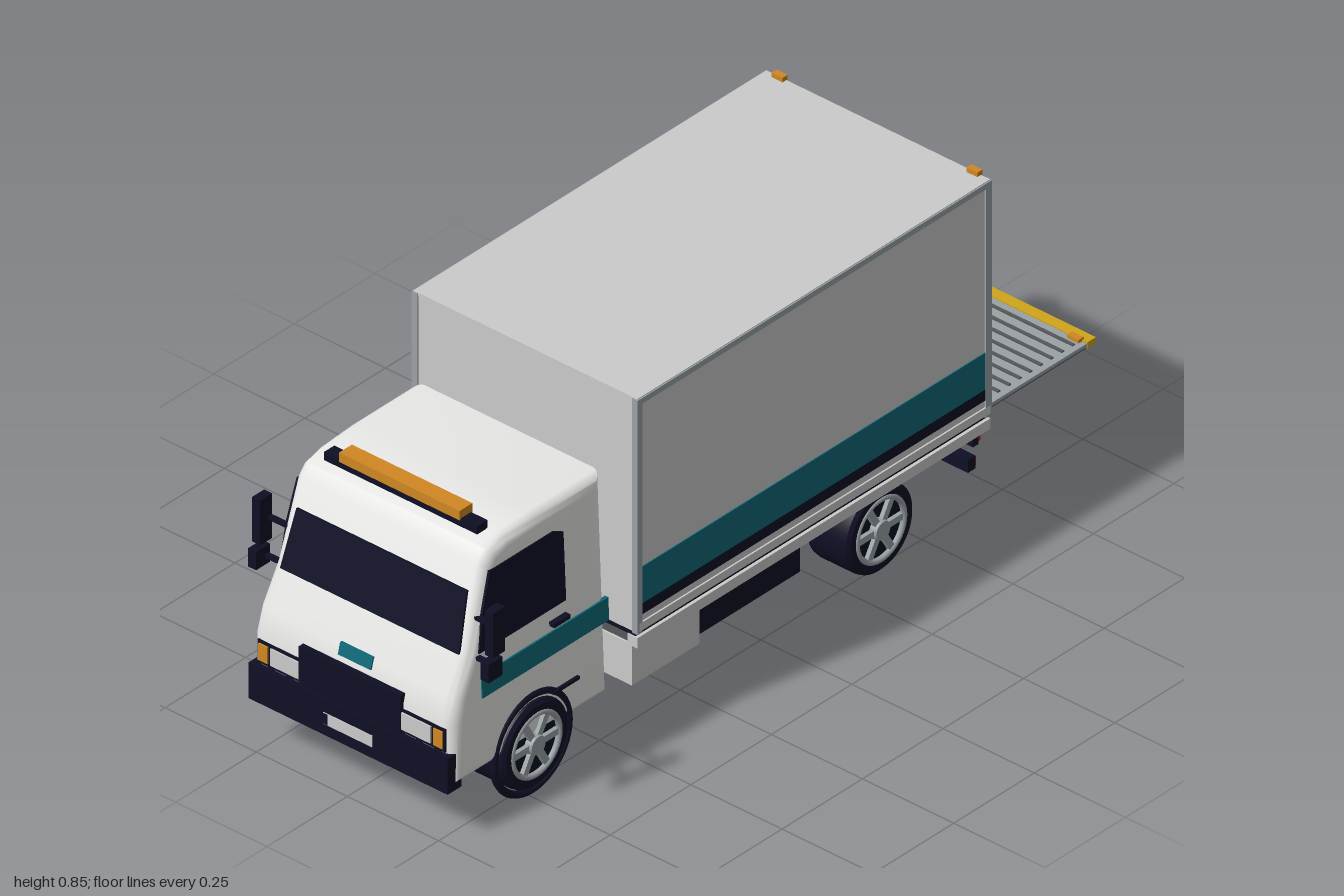
import * as THREE from 'three';
import { toCreasedNormals } from 'three/addons/utils/BufferGeometryUtils.js';

const paint = (name, color) => {
  const m = new THREE.MeshStandardMaterial({ color });
  m.name = name;
  return m;
};

export function createModel() {
  const white = paint('cabWhite', 0xe9e9e7);
  const panel = paint('panelGrey', 0xcbcbcb);
  const frame = paint('frameGrey', 0x9aa2a6);
  const navy = paint('navyBlack', 0x0f0f26);
  const teal = paint('teal', 0x0e6878);
  const orange = paint('orange', 0xd08722);
  const yellow = paint('yellow', 0xcfa51a);
  const red = paint('red', 0xc4260f);
  const dark = paint('darkGrey', 0x55585a);

  const truck = new THREE.Group();
  truck.name = 'boxTruck';

  const group = (name) => {
    const g = new THREE.Group();
    g.name = name;
    truck.add(g);
    return g;
  };
  const add = (parent, name, geo, mat) => {
    const m = new THREE.Mesh(geo, mat);
    m.name = name;
    parent.add(m);
    return m;
  };
  // Box given by its limits on each axis
  const box = (parent, name, mat, x0, x1, y0, y1, z0, z1) => {
    const m = add(parent, name, new THREE.BoxGeometry(Math.abs(x1 - x0), y1 - y0, Math.abs(z1 - z0)), mat);
    m.position.set((x0 + x1) / 2, (y0 + y1) / 2, (z0 + z1) / 2);
    return m;
  };
  const shapeOf = (pts) => new THREE.Shape(pts.map(([a, b]) => new THREE.Vector2(a, b)));
  const moveVertices = (geo, rule) => {
    const p = geo.attributes.position, v = new THREE.Vector3();
    for (let i = 0; i < p.count; i++) {
      rule(v.fromBufferAttribute(p, i));
      p.setXYZ(i, v.x, v.y, v.z);
    }
    geo.computeVertexNormals();
    return geo;
  };

  // ---- Cab: bevelled side profile, narrowing towards the roof ----
  const cab = group('cab');
  const halfWidth = (y) => 0.28 - 0.045 * Math.max(0, y - 0.2);
  const profile = [[0.5, 0.13], [0.985, 0.13], [0.985, 0.28], [0.97, 0.34], [0.925, 0.43],
    [0.872, 0.615], [0.85, 0.643], [0.8, 0.658], [0.7, 0.665], [0.5, 0.665]];
  const b = 0.03;
  let shell = new THREE.ExtrudeGeometry(shapeOf(profile.map(([z, y]) => [-z, y]).reverse()), {
    depth: 0.56 - 2 * b, bevelThickness: b, bevelSize: b, bevelOffset: -b, bevelSegments: 6 });
  shell.translate(0, 0, -0.28 + b).rotateY(Math.PI / 2);
  shell = moveVertices(shell, (v) => { v.x *= halfWidth(v.y) / 0.28; });
  add(cab, 'cabShell', toCreasedNormals(shell, 0.6), white);

  // Thin plates that follow the cab side; points are [z, y]
  const sidePlate = (name, mat, s, pts) => {
    const geo = new THREE.ExtrudeGeometry(shapeOf(pts.map(([z, y]) => [-s * z, y])), { depth: 0.009, bevelEnabled: false });
    geo.rotateY(s * Math.PI / 2);
    add(cab, name, moveVertices(geo, (v) => { v.x += s * (halfWidth(v.y) - 0.006); }), mat);
  };
  // Thin plates that follow the cab front; points are [x, y]
  const frontPlate = (name, mat, pts, zAt) => {
    const geo = new THREE.ExtrudeGeometry(shapeOf(pts), { depth: 0.009, bevelEnabled: false });
    add(cab, name, moveVertices(geo, (v) => { v.z += zAt(v.y) - 0.005; }), mat);
  };
  const rect = (a0, a1, b0, b1) => [[a0, b0], [a1, b0], [a1, b1], [a0, b1]];

  frontPlate('windscreen', navy, [[-0.245, 0.422], [0.245, 0.422], [0.234, 0.555], [-0.234, 0.555]],
    (y) => 0.926 - (y - 0.43) * 0.286);
  frontPlate('frontBadge', teal, rect(-0.045, 0.045, 0.32, 0.347), (y) => 0.986 - (y - 0.28) * 0.27);

  for (const s of [-1, 1]) {
    const side = s > 0 ? 'left' : 'right';
    sidePlate(side + 'Window', navy, s, [[0.63, 0.42], [0.9, 0.42], [0.885, 0.51], [0.858, 0.6], [0.66, 0.6], [0.63, 0.585]]);
    sidePlate(side + 'CabStripe', teal, s, rect(0.502, 0.895, 0.31, 0.365));
    box(cab, side + 'DoorHandle', navy, s * 0.265, s * 0.285, 0.38, 0.39, 0.63, 0.68);
    box(cab, side + 'StepTrim', navy, s * 0.265, s * 0.284, 0.215, 0.223, 0.6, 0.68);
    // Mirrors and their arms
    box(cab, side + 'MainMirror', navy, s * 0.308, s * 0.33, 0.445, 0.555, 0.885, 0.922);
    box(cab, side + 'LowerMirror', navy, s * 0.308, s * 0.33, 0.39, 0.435, 0.892, 0.935);
    box(cab, side + 'UpperMirrorArm', navy, s * 0.25, s * 0.31, 0.496, 0.504, 0.885, 0.897);
    box(cab, side + 'LowerMirrorArm', navy, s * 0.25, s * 0.31, 0.407, 0.415, 0.895, 0.907);
    // Headlamp cluster
    box(cab, side + 'LampSurround', navy, s * 0.13, s * 0.257, 0.213, 0.27, 0.95, 0.988);
    box(cab, side + 'Headlamp', panel, s * 0.14, s * 0.22, 0.222, 0.263, 0.96, 0.992);
    box(cab, side + 'Indicator', orange, s * 0.227, s * 0.252, 0.222, 0.263, 0.96, 0.992);
  }
  box(cab, 'grille', navy, -0.14, 0.14, 0.213, 0.305, 0.94, 0.994);
  box(cab, 'frontBumper', navy, -0.273, 0.273, 0.122, 0.21, 0.955, 0.998);
  box(cab, 'bumperLip', navy, -0.145, 0.145, 0.114, 0.124, 0.955, 0.985);
  box(cab, 'numberPlate', panel, -0.067, 0.067, 0.15, 0.178, 0.992, 1);
  box(cab, 'numberPlateEnd', navy, -0.066, -0.055, 0.151, 0.177, 0.993, 1.0005);
  box(cab, 'beaconBase', navy, -0.21, 0.21, 0.655, 0.675, 0.803, 0.835);
  box(cab, 'beaconBar', orange, -0.165, 0.165, 0.672, 0.695, 0.799, 0.839);

  // ---- Cargo body ----
  const cargo = group('cargoBody');
  box(cargo, 'cargoBox', panel, -0.306, 0.306, 0.262, 0.836, -0.645, 0.447);
  box(cargo, 'roofPanel', panel, -0.307, 0.307, 0.83, 0.839, -0.648, 0.448);
  box(cargo, 'floorSeam', navy, -0.3, 0.3, 0.25, 0.265, -0.645, 0.445);
  box(cargo, 'floorPan', dark, -0.285, 0.285, 0.222, 0.252, -0.64, 0.44);
  for (const s of [-1, 1]) {
    for (const [z0, z1] of [[0.435, 0.45], [-0.65, -0.632]])
      box(cargo, 'cornerPost', frame, s * 0.294, s * 0.31, 0.26, 0.837, z0, z1);
    box(cargo, 'topRail', frame, s * 0.296, s * 0.31, 0.823, 0.837, -0.645, 0.445);
    box(cargo, 'bottomRail', panel, s * 0.296, s * 0.31, 0.265, 0.285, -0.645, 0.445);
    box(cargo, 'floorRail', panel, s * 0.28, s * 0.308, 0.225, 0.251, -0.648, 0.448);
    box(cargo, 'tealStripe', teal, s * 0.302, s * 0.3085, 0.33, 0.42, -0.632, 0.435);
    box(cargo, 'navyStripe', navy, s * 0.302, s * 0.3085, 0.303, 0.33, -0.632, 0.435);
    box(cargo, 'markerLamp', orange, s * 0.252, s * 0.282, 0.836, 0.85, -0.652, -0.636);
  }
  // Roller door
  box(cargo, 'doorHeader', frame, -0.296, 0.296, 0.818, 0.837, -0.65, -0.636);
  box(cargo, 'doorStripe', teal, -0.293, 0.293, 0.335, 0.42, -0.6475, -0.64);
  box(cargo, 'doorSill', navy, -0.293, 0.293, 0.262, 0.285, -0.648, -0.64);
  for (let i = 0; i < 9; i++) {
    const y = 0.328 + i * 0.055;
    if (i !== 1) box(cargo, 'doorGroove', frame, -0.293, 0.293, y, y + 0.007, -0.648, -0.64);
  }

  // ---- Tail lift ----
  const lift = group('tailLift');
  box(lift, 'liftPlatform', frame, -0.285, 0.285, 0.256, 0.264, -0.975, -0.648);
  box(lift, 'liftUnderside', dark, -0.284, 0.284, 0.252, 0.257, -0.974, -0.648);
  box(lift, 'liftEdge', yellow, -0.286, 0.286, 0.252, 0.267, -1, -0.973);
  for (let i = 0; i < 9; i++) {
    const z = -0.685 - i * 0.033;
    box(lift, 'liftRib', dark, -0.27, 0.27, 0.263, 0.267, z - 0.004, z + 0.004);
  }
  for (const s of [-1, 1]) box(lift, 'liftLamp', orange, s * 0.24, s * 0.272, 0.262, 0.272, -0.978, -0.962);

  // ---- Chassis ----
  const chassis = group('chassis');
  for (const s of [-1, 1]) {
    box(chassis, 'chassisRail', navy, s * 0.088, s * 0.115, 0.155, 0.21, -0.63, 0.6);
    box(chassis, 'sideGuard', navy, s * 0.262, s * 0.282, 0.14, 0.218, -0.085, s > 0 ? 0.23 : 0.3);
    box(chassis, 'bumperBracket', navy, s * 0.088, s * 0.115, 0.115, 0.21, -0.635, -0.615);
    // Rear lamps
    box(chassis, 'lampBoard', navy, s * 0.14, s * 0.28, 0.178, 0.215, -0.642, -0.625);
    box(chassis, 'tailLamp', red, s * 0.215, s * 0.277, 0.182, 0.21, -0.652, -0.638);
    box(chassis, 'rearIndicator', orange, s * 0.175, s * 0.212, 0.182, 0.21, -0.652, -0.638);
    box(chassis, 'bumperReflector', red, s * 0.225, s * 0.272, 0.122, 0.145, -0.643, -0.63);
  }
  for (const z of [0.4, 0.15, -0.1, -0.33, -0.58])
    box(chassis, 'crossMember', navy, -0.1, 0.1, 0.165, 0.2, z - 0.015, z + 0.015);
  box(chassis, 'rearBumper', navy, -0.275, 0.275, 0.118, 0.15, -0.638, -0.615);
  box(chassis, 'rearPlate', panel, -0.06, 0.06, 0.178, 0.208, -0.645, -0.637);
  box(chassis, 'rearPlateBracket', navy, -0.14, 0.14, 0.185, 0.205, -0.638, -0.625);
  box(chassis, 'rightToolbox', panel, -0.29, -0.17, 0.125, 0.226, 0.3, 0.445);
  box(chassis, 'leftToolbox', panel, 0.17, 0.29, 0.125, 0.226, 0.235, 0.445);

  // ---- Wheels: the tyre axis runs along y before turning, outside up ----
  const tyreGeo = toCreasedNormals(new THREE.LatheGeometry([[0.074, -0.06], [0.095, -0.06], [0.103, -0.053],
    [0.105, -0.042], [0.105, 0.042], [0.103, 0.053], [0.095, 0.06], [0.08, 0.06], [0.076, 0.048], [0.0001, 0.048]]
    .map(([r, y]) => new THREE.Vector2(r, y)), 40), 0.6);
  const rimGeo = new THREE.TorusGeometry(0.074, 0.007, 8, 40).rotateX(Math.PI / 2);
  const hubGeo = new THREE.CylinderGeometry(0.022, 0.026, 0.018, 20);
  const spokeGeo = new THREE.BoxGeometry(0.058, 0.01, 0.016).translate(0.045, 0, 0);
  const backGeo = new THREE.CylinderGeometry(0.076, 0.076, 0.02, 32);
  for (const [axle, z] of [['front', 0.74], ['rear', -0.33]]) {
    const bar = add(chassis, axle + 'Axle', new THREE.CylinderGeometry(0.018, 0.018, 0.4, 12), navy);
    bar.rotation.z = Math.PI / 2;
    bar.position.set(0, 0.125, z);
    for (const s of [-1, 1]) {
      const wheel = group(axle + (s > 0 ? 'Left' : 'Right') + 'Wheel');
      wheel.position.set(s * 0.23, 0.125, z);
      wheel.rotation.z = -s * Math.PI / 2;
      add(wheel, 'tyre', tyreGeo, navy);
      add(wheel, 'wheelBack', backGeo, navy).position.y = -0.045;
      add(wheel, 'rim', rimGeo, frame).position.y = 0.056;
      add(wheel, 'hub', hubGeo, frame).position.y = 0.056;
      for (let i = 0; i < 6; i++) {
        const spoke = add(wheel, 'spoke', spokeGeo, frame);
        spoke.position.y = 0.054;
        spoke.rotation.y = (i + 0.5) * Math.PI / 3;
      }
      // Ring trim around the front wheel openings
      if (axle === 'front') {
        const ring = new THREE.TorusGeometry(0.116, 0.009, 8, 48).rotateX(Math.PI / 2);
        add(wheel, 'archTrim', ring, navy).position.y = 0.044;
      }
    }
  }
  return truck;
}
